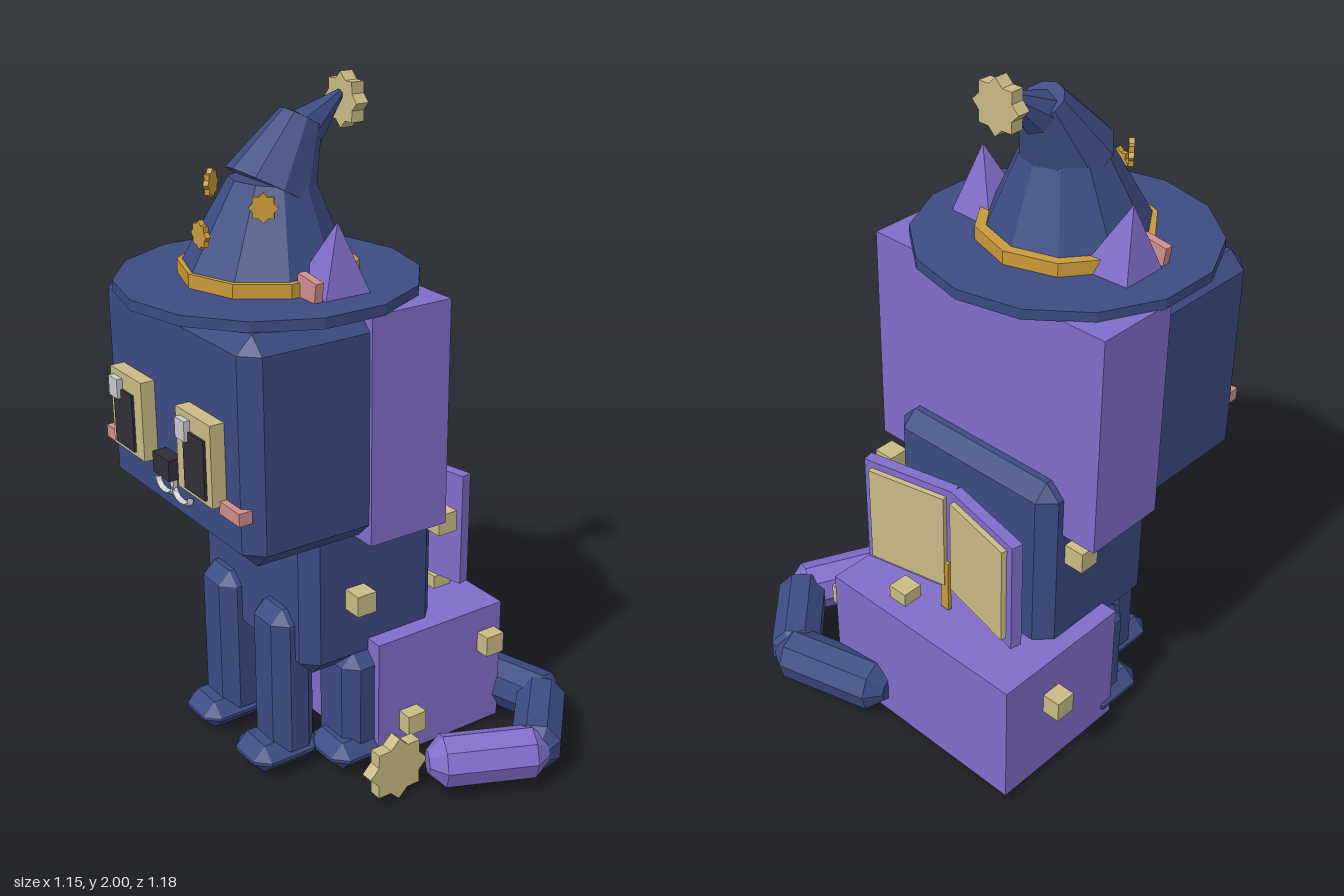
import * as THREE from 'three';
import { ConvexGeometry } from 'three/addons/geometries/ConvexGeometry.js';

const mat = (name, color) => {
  const m = new THREE.MeshStandardMaterial({ color, flatShading: true });
  m.name = name;
  return m;
};

export function createModel() {
  const navy = mat('navy', 0x3c4b82), purple = mat('purple', 0x806dca), pale = mat('pale gold', 0xc9bb85),
    gold = mat('gold', 0xc99a3a), pink = mat('pink', 0xcf8e8c), dark = mat('charcoal', 0x302f38),
    white = mat('light grey', 0xc9c9cc);
  const model = new THREE.Group();
  model.name = 'wizardCat';
  const CX = -0.155; // the cat's own middle; the tail sits off to its left

  const add = (name, geo, material, x, y, z, parent = model) => {
    const m = new THREE.Mesh(geo, material);
    m.name = name;
    m.position.set(x, y, z);
    parent.add(m);
    return m;
  };
  const box = (name, material, x, y, z, w, h, d, parent) =>
    add(name, new THREE.BoxGeometry(w, h, d), material, x, y, z, parent);

  // Box with all edges and corners cut off by c
  const chamferBox = (w, h, d, c) => {
    const pts = [];
    for (const sx of [-1, 1]) for (const sy of [-1, 1]) for (const sz of [-1, 1]) {
      const X = sx * w / 2, Y = sy * h / 2, Z = sz * d / 2;
      pts.push(new THREE.Vector3(X, Y - sy * c, Z - sz * c),
        new THREE.Vector3(X - sx * c, Y, Z - sz * c),
        new THREE.Vector3(X - sx * c, Y - sy * c, Z));
    }
    return new ConvexGeometry(pts);
  };

  // Eight-pointed star plate centred on its own thickness
  const star = (r, depth) => {
    const pts = [];
    for (let i = 0; i < 16; i++) {
      const a = i * Math.PI / 8 + Math.PI / 2, q = i % 2 ? r * 0.77 : r;
      pts.push(new THREE.Vector2(q * Math.cos(a), q * Math.sin(a)));
    }
    const g = new THREE.ExtrudeGeometry(new THREE.Shape(pts), { depth, bevelEnabled: false });
    return g.translate(0, 0, -depth / 2);
  };

  // Body and legs
  add('body', chamferBox(0.59, 0.61, 0.465, 0.045), navy, CX, 0.645, 0.003);
  for (const s of [-1, 1]) {
    add('frontLeg', chamferBox(0.17, 0.5, 0.14, 0.04), navy, CX + s * 0.145, 0.29, 0.222);
    add('frontPaw', chamferBox(0.18, 0.09, 0.23, 0.04), navy, CX + s * 0.145, 0.063, 0.25);
    add('hindLeg', chamferBox(0.19, 0.34, 0.17, 0.04), navy, CX + s * 0.235, 0.215, 0.03);
    add('hindPaw', chamferBox(0.19, 0.09, 0.22, 0.04), navy, CX + s * 0.26, 0.063, 0.06);
  }
  box('haunch', purple, CX + 0.002, 0.22, -0.205, 0.697, 0.4, 0.46);
  box('haunchUnderside', navy, CX + 0.002, 0.017, -0.205, 0.61, 0.008, 0.38);

  // Head
  add('head', chamferBox(0.79, 0.65, 0.6, 0.048), navy, CX, 1.125, 0.172);
  box('headBack', purple, CX, 1.118, -0.035, 0.81, 0.665, 0.26);

  // Face
  for (const s of [-1, 1]) {
    box('eye', pale, CX + s * 0.187, 1.083, 0.49, 0.18, 0.235, 0.05);
    box('pupil', dark, CX + s * 0.197, 1.065, 0.518, 0.108, 0.17, 0.009);
    box('cheek', pink, CX + s * 0.322, 0.963, 0.472, 0.1, 0.037, 0.04);
    const lip = add('mouthCurve', new THREE.TorusGeometry(0.045, 0.012, 4, 6, Math.PI), white, CX + s * 0.047, 0.918, 0.475);
    lip.rotation.z = Math.PI;
    lip.scale.y = 0.7;
  }
  for (const x of [-0.387, -0.008]) box('eyeHighlight', white, x, 1.152, 0.523, 0.05, 0.058, 0.02);
  box('nose', dark, CX - 0.002, 0.987, 0.49, 0.09, 0.062, 0.05);
  box('mouthStem', white, CX, 0.935, 0.475, 0.018, 0.05, 0.02);

  // Ears poking through the brim
  for (const s of [-1, 1]) {
    const g = new THREE.ConeGeometry(0.125, 0.23, 4);
    g.rotateY(Math.PI / 4);
    const ear = add('ear', g, purple, CX + s * 0.247, 1.555, 0.103);
    ear.rotation.z = -s * 0.12;
    const inner = box('innerEar', pink, CX + s * 0.265, 1.495, 0.195, 0.084, 0.085, 0.025);
    inner.rotation.z = -s * 0.14;
  }

  // Hat: brim, band and three bent cone pieces
  const HZ = 0.155;
  add('hatBrim', new THREE.CylinderGeometry(0.425, 0.425, 0.03, 14), navy, CX, 1.463, HZ);
  add('hatBand', new THREE.CylinderGeometry(0.25, 0.25, 0.045, 10), gold, CX, 1.495, HZ);
  const hatPiece = (name, rTop, rBottom, from, to, tilt, sides) => {
    const len = Math.hypot(to[0] - from[0], to[1] - from[1]);
    const p = add(name, new THREE.CylinderGeometry(rTop, rBottom, len, sides), navy,
      CX, (from[1] + to[1]) / 2, (from[0] + to[0]) / 2);
    p.rotation.x = -tilt;
  };
  hatPiece('hatLower', 0.12, 0.24, [0.163, 1.49], [0.13, 1.735], 0.09, 10);
  hatPiece('hatMiddle', 0.062, 0.133, [0.145, 1.715], [0.04, 1.89], 0.52, 10);
  hatPiece('hatTip', 0.012, 0.06, [0.028, 1.862], [-0.088, 1.943], 0.96, 8);
  add('hatTipStar', star(0.077, 0.04), pale, CX, 1.923, -0.107);
  for (const [x, y, z, turn] of [[CX, 1.617, 0.362, 0], [-0.28, 1.717, 0.255, -0.9], [-0.016, 1.703, 0.252, 0.9]])
    add('hatStar', star(0.04, 0.015), gold, x, y, z).rotation.y = turn;

  // Open book on the back, pages facing backwards
  const book = new THREE.Group();
  book.name = 'book';
  model.add(book);
  for (const s of [-1, 1]) {
    const half = new THREE.Group();
    half.name = 'bookHalf';
    half.position.set(CX, 0.668, -0.275);
    half.rotation.y = s * 0.21;
    book.add(half);
    box('bookCover', purple, s * 0.147, 0, 0, 0.294, 0.355, 0.035, half);
    box('bookPages', pale, s * 0.145, 0, -0.025, 0.25, 0.31, 0.018, half);
  }
  box('bookmark', gold, CX + 0.015, 0.51, -0.304, 0.03, 0.17, 0.012, book);

  // Small cubes dotted over the body
  for (const [x, y, z] of [[-0.48, 0.712, -0.12], [0.17, 0.75, -0.213], [0.17, 0.575, 0.072],
    [0.21, 0.31, -0.378], [-0.525, 0.275, -0.25], [0.21, 0.14, -0.085], [-0.018, 0.43, -0.35]])
    box('cube', pale, x, y, z, 0.064, 0.064, 0.064);

  // Curled tail of three blunt-ended rods, with a star at its end
  const tailPiece = (name, material, a, b) => {
    const A = new THREE.Vector3(a[0], 0.105, a[1]), B = new THREE.Vector3(b[0], 0.105, b[1]);
    const h = A.distanceTo(B) / 2, r = 0.079, c = 0.045;
    const profile = [[0, -h], [r * 0.45, -h], [r, -h + c], [r, h - c], [r * 0.45, h], [0, h]]
      .map(p => new THREE.Vector2(...p));
    const g = new THREE.LatheGeometry(profile, 8, Math.PI / 8);
    const m = add(name, g, material, 0, 0, 0);
    m.position.copy(A).lerp(B, 0.5);
    m.quaternion.setFromUnitVectors(new THREE.Vector3(0, 1, 0), B.sub(A).normalize());
  };
  tailPiece('tailBase', navy, [-0.02, -0.435], [0.35, -0.54]);
  tailPiece('tailMiddle', navy, [0.28, -0.545], [0.53, -0.295]);
  tailPiece('tailEnd', purple, [0.525, -0.345], [0.375, -0.02]);
  add('tailStar', star(0.102, 0.04), pale, 0.333, 0.103, 0.065).rotation.y = Math.PI / 2;

  return model;
}
